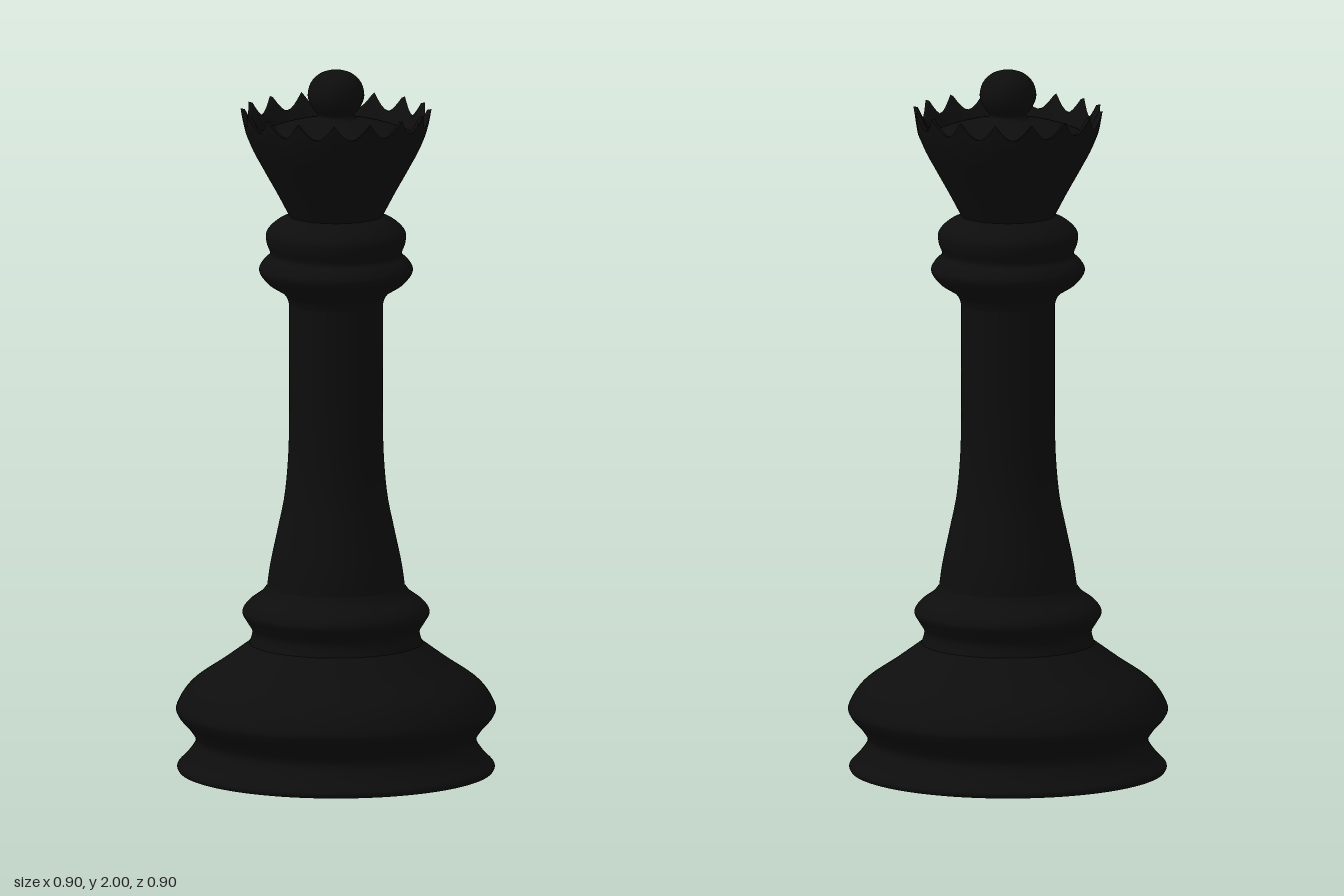
import * as THREE from 'three';

const SEGMENTS = 128;
const TEETH = 16;

export function createModel() {
  const group = new THREE.Group();
  const black = new THREE.MeshStandardMaterial({ color: 0x0d0d0d });
  black.name = 'ebony black';

  const add = (name, geometry) => {
    const mesh = new THREE.Mesh(geometry, black);
    mesh.name = name;
    group.add(mesh);
    return mesh;
  };

  // Turns a profile of [radius, height] pairs, smoothed by a spline when steps > 0
  const turned = (pairs, steps = 0) => {
    const points = pairs.map(([r, y]) => new THREE.Vector2(r, y));
    const profile = steps ? new THREE.SplineCurve(points).getPoints(steps) : points;
    return new THREE.LatheGeometry(profile, SEGMENTS);
  };

  // Underside and foot with its waist and broad swelling
  add('underside', turned([[0, 0], [0.3, 0], [0.44, 0.01]]));
  add('foot', turned([
    [0.44, 0.01], [0.443, 0.025], [0.415, 0.055], [0.392, 0.095], [0.41, 0.13],
    [0.44, 0.165], [0.445, 0.195], [0.405, 0.255], [0.32, 0.315], [0.242, 0.372],
  ], 48));

  // Lower ring above the foot
  add('lowerRing', turned([
    [0.242, 0.372], [0.234, 0.405], [0.25, 0.435], [0.262, 0.46],
    [0.245, 0.487], [0.21, 0.513], [0.193, 0.535],
  ], 32));

  // Tapering shaft
  add('shaft', turned([
    [0.193, 0.53], [0.183, 0.6], [0.162, 0.7], [0.144, 0.79], [0.134, 0.9],
    [0.131, 1.02], [0.131, 1.2], [0.131, 1.34],
  ], 40));

  // Double collar below the crown
  add('collar', turned([
    [0.131, 1.335], [0.145, 1.365], [0.19, 1.395], [0.215, 1.43], [0.203, 1.458],
    [0.184, 1.478], [0.194, 1.51], [0.194, 1.54], [0.168, 1.568], [0.13, 1.588],
  ], 60));

  // Cuts scallops into the rim, leaving pointed teeth
  const scallop = (geometry) => {
    const p = geometry.attributes.position;
    for (let i = 0; i < p.count; i++) {
      const x = p.getX(i), y = p.getY(i), z = p.getZ(i);
      const weight = THREE.MathUtils.clamp((y - 1.8) / 0.09, 0, 1);
      const cut = weight * Math.abs(Math.cos(Math.atan2(x, z) * TEETH / 2));
      const shrink = 1 - 0.045 * cut;
      p.setXYZ(i, x * shrink, y - 0.045 * cut, z * shrink);
    }
    return geometry;
  };
  add('crown', scallop(turned([
    [0.13, 1.585], [0.164, 1.65], [0.203, 1.72], [0.235, 1.78], [0.257, 1.84], [0.267, 1.89],
  ], 30)));
  add('crownRim', scallop(turned([
    [0.267, 1.89], [0.255, 1.888], [0.235, 1.85], [0.215, 1.815],
  ])));

  // Gently domed floor inside the crown
  add('crownFloor', turned([
    [0.217, 1.816], [0.17, 1.835], [0.11, 1.852], [0.055, 1.862], [0, 1.866],
  ], 20));

  // Ball on top, with a small neck
  add('finial', turned([
    [0.065, 1.858], [0.05, 1.872], [0.062, 1.888], [0.075, 1.91], [0.079, 1.933],
    [0.071, 1.963], [0.05, 1.986], [0.025, 1.997], [0, 2],
  ], 32));

  return group;
}
